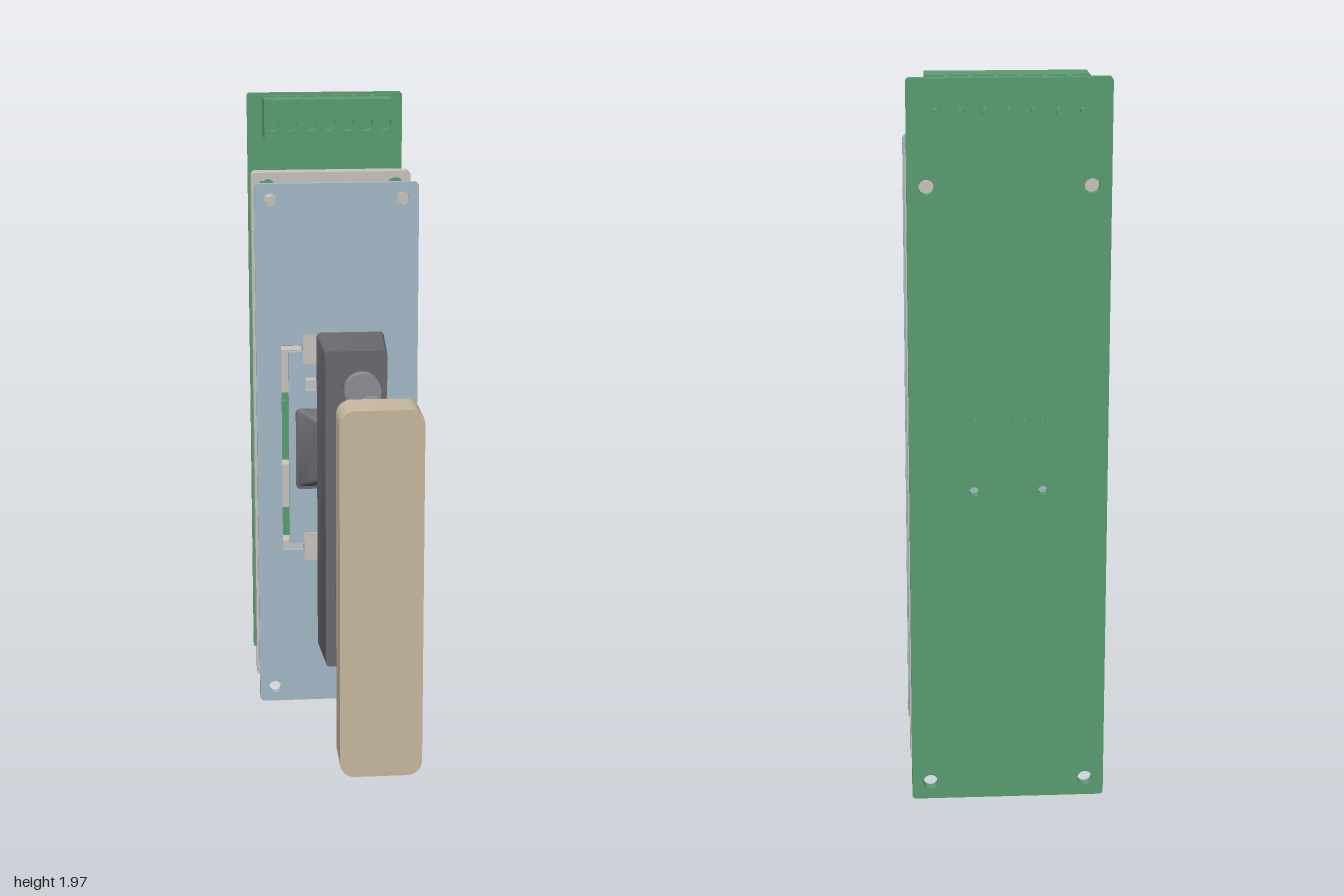
import * as THREE from 'three';
import { toCreasedNormals } from 'three/addons/utils/BufferGeometryUtils.js';

const mat = (name, color) => {
  const m = new THREE.MeshStandardMaterial({ color });
  m.name = name;
  return m;
};

// Rounded rectangle outline, centre (x, y)
function rect(x, y, w, h, r = 0, Type = THREE.Shape) {
  const s = new Type(), a = x - w / 2, b = x + w / 2, c = y - h / 2, d = y + h / 2;
  if (!r) {
    s.moveTo(a, c); s.lineTo(b, c); s.lineTo(b, d); s.lineTo(a, d); s.closePath();
    return s;
  }
  s.moveTo(a + r, c);
  s.lineTo(b - r, c); s.absarc(b - r, c + r, r, -Math.PI / 2, 0);
  s.lineTo(b, d - r); s.absarc(b - r, d - r, r, 0, Math.PI / 2);
  s.lineTo(a + r, d); s.absarc(a + r, d - r, r, Math.PI / 2, Math.PI);
  s.lineTo(a, c + r); s.absarc(a + r, c + r, r, Math.PI, Math.PI * 1.5);
  return s;
}
const rectHole = (x, y, w, h) => rect(x, y, w, h, 0, THREE.Path);
const roundHole = (x, y, r) => new THREE.Path().absarc(x, y, r, 0, Math.PI * 2);
function polygon(points, Type = THREE.Shape) {
  const s = new Type();
  points.forEach(([x, y], i) => (i ? s.lineTo(x, y) : s.moveTo(x, y)));
  s.closePath();
  return s;
}
// Plus-shaped outline
function cross(y, w, h, t, Type) {
  return polygon([[-w, -t], [-t, -t], [-t, -h], [t, -h], [t, -t], [w, -t],
    [w, t], [t, t], [t, h], [-t, h], [-t, t], [-w, t]].map(([a, b]) => [a, b + y]), Type);
}

export function createModel() {
  const root = new THREE.Group();
  root.name = 'explodedHandleAssembly';
  const green = mat('boardGreen', 0x5a9e72), blue = mat('plateBlue', 0xa5bbc9);
  const tan = mat('capTan', 0xc9baa0), dark = mat('darkGrey', 0x6a696f);
  const beige = mat('warmGrey', 0xcac5bd), magenta = mat('magenta', 0xb0469b);
  const steel = mat('magnetGrey', 0x8e8f96);

  const group = (name) => {
    const g = new THREE.Group();
    g.name = name;
    root.add(g);
    return g;
  };
  const put = (parent, name, geo, material) => {
    const m = new THREE.Mesh(geo, material);
    m.name = name;
    parent.add(m);
    return m;
  };
  // Extrudes an outline from z0 to z1; scale(z) tapers it about height cy
  const layer = (parent, name, material, shape, z0, z1, holes = [], scale = null, cy = 0) => {
    shape.holes.push(...holes);
    const geo = new THREE.ExtrudeGeometry(shape, { depth: z1 - z0, bevelEnabled: false, curveSegments: 8 });
    geo.translate(0, 0, z0);
    if (scale) {
      const p = geo.attributes.position;
      for (let i = 0; i < p.count; i++) {
        const [sx, sy] = scale(p.getZ(i));
        p.setXY(i, p.getX(i) * sx, cy + (p.getY(i) - cy) * sy);
      }
    }
    return put(parent, name, toCreasedNormals(geo, 0.6), material);
  };
  const box = (parent, name, material, x0, x1, y0, y1, z0, z1) =>
    put(parent, name, new THREE.BoxGeometry(x1 - x0, y1 - y0, z1 - z0)
      .translate((x0 + x1) / 2, (y0 + y1) / 2, (z0 + z1) / 2), material);
  const rod = (parent, name, material, x, y, z0, z1, r, n = 24) =>
    put(parent, name, new THREE.CylinderGeometry(r, r, z1 - z0, n)
      .rotateX(Math.PI / 2).translate(x, y, (z0 + z1) / 2), material);

  const magnetY = [1.29, 0.457], buttonY = [1.21, 0.545];
  const corners = (r) => [-0.21, 0.21].flatMap((x) => [0.05, 1.69].map((y) => roundHole(x, y, r)));

  // Cap: solid face, layer of wells, thin rim
  const cap = group('cap');
  const capOutline = () => rect(0, 0.873, 0.22, 1.01, 0.04);
  layer(cap, 'capFace', tan, capOutline(), 0.955, 1.0);
  layer(cap, 'capWells', tan, capOutline(), 0.9, 0.955, [
    ...magnetY.map((y) => roundHole(0, y, 0.056)),
    rectHole(0, 0.95, 0.08, 0.43), rectHole(0, 0.61, 0.09, 0.09)]);
  layer(cap, 'capRim', tan, capOutline(), 0.88, 0.9, [rect(0, 0.873, 0.185, 0.975, 0.03, THREE.Path)]);
  box(cap, 'capShim', tan, -0.035, 0.035, 0.6, 0.75, 0.706, 0.711);

  // Magnets: a pair for the cap and a pair for the body
  const magnets = group('magnets');
  for (const y of magnetY) for (const z of [0.706, 0.428]) rod(magnets, 'magnet', steel, 0, y, z, z + 0.033, 0.052, 32);

  // Contact spring
  const spring = group('contactSpring');
  box(spring, 'springPlate', magenta, -0.045, 0.045, 1.07, 1.21, 0.426, 0.432);
  box(spring, 'springPad', magenta, -0.02, 0.02, 1.14, 1.175, 0.432, 0.445);
  box(spring, 'springFoot', magenta, -0.045, 0.045, 1.07, 1.1, 0.432, 0.443);
  box(spring, 'springLeg', magenta, -0.02, 0.02, 1.066, 1.074, 0.312, 0.432);

  // Slide lever with two prongs
  const lever = group('slideLever');
  box(lever, 'leverBlock', dark, -0.025, 0.02, 0.6, 0.76, 0.39, 0.445);
  box(lever, 'leverTab', dark, -0.072, -0.025, 0.645, 0.71, 0.375, 0.43);
  for (const y of [0.628, 0.728]) rod(lever, 'leverProng', dark, 0, y, 0.25, 0.46, 0.008, 10);

  // Handle body: tapered shell, open at the back
  const body = group('handleBody');
  const taper = (z) => { const t = (0.25 - z) / 0.2; return [0.9 + 0.1 * t, 0.98 + 0.02 * t]; };
  const bodyOutline = () => rect(0, 0.873, 0.2, 0.99, 0.012);
  layer(body, 'bodyFront', dark, bodyOutline(), 0.205, 0.25, [
    ...magnetY.map((y) => roundHole(0, y - 0.873, 0.056)).map((h, i) => roundHole(0, magnetY[i], 0.056)),
    rectHole(0, 1.13, 0.1, 0.17), rectHole(0, 0.68, 0.07, 0.2)], taper, 0.873);
  layer(body, 'bodyFloor', dark, bodyOutline(), 0.185, 0.205,
    [rectHole(0, 1.08, 0.05, 0.05), rectHole(0, 0.68, 0.03, 0.14)], taper, 0.873);
  layer(body, 'bodyWalls', dark, bodyOutline(), 0.045, 0.185,
    [rectHole(0, 0.873, 0.17, 0.95)], taper, 0.873);
  for (const y of buttonY) {
    layer(body, 'bodyPost', dark, new THREE.Shape().absarc(0, y, 0.046, 0, Math.PI * 2), -0.016, 0.19,
      [cross(y, 0.03, 0.03, 0.01, THREE.Path)]);
  }
  layer(body, 'bodyCentrePost', dark, new THREE.Shape().absarc(0, 0.883, 0.046, 0, Math.PI * 2), 0.06, 0.19,
    [rectHole(0, 0.883, 0.05, 0.05)]);

  // Face plate with bracket-shaped slot and windows
  const plate = group('facePlate');
  layer(plate, 'plate', blue, rect(0, 0.87, 0.52, 1.74, 0.015), -0.456, -0.434, [
    ...corners(0.02),
    polygon([[-0.18, 0.53], [-0.112, 0.53], [-0.112, 0.553], [-0.157, 0.553],
      [-0.157, 1.197], [-0.112, 1.197], [-0.112, 1.22], [-0.18, 1.22]], THREE.Path),
    ...[-0.085, -0.03, 0.025, 0.08].map((x) => rectHole(x, 1.09, 0.035, 0.045))]);

  // Push buttons
  const buttons = group('pushButtons');
  for (const y of buttonY) {
    box(buttons, 'buttonBase', beige, -0.11, 0.11, y - 0.05, y + 0.045, -0.503, -0.431);
    box(buttons, 'buttonCollar', beige, -0.033, 0.033, y - 0.035, y + 0.033, -0.431, -0.375);
    layer(buttons, 'buttonStem', beige, cross(y, 0.033, 0.03, 0.012), -0.375, -0.32);
  }

  // Central joystick switch
  const stick = group('centreSwitch');
  const sy = 0.88;
  layer(stick, 'switchBase', dark, rect(0, sy, 0.24, 0.24, 0.012), -0.52, -0.456);
  layer(stick, 'switchFlange', dark, rect(0, sy - 0.005, 0.27, 0.27, 0.015), -0.456, -0.43);
  layer(stick, 'switchCone', dark, rect(0, sy, 0.26, 0.26, 0.01), -0.43, -0.368, [],
    (z) => (z > -0.4 ? [0.48, 0.74] : [1, 1]), sy);
  box(stick, 'switchNeck', dark, -0.06, 0.06, sy - 0.045, sy + 0.045, -0.368, -0.3);
  layer(stick, 'switchTip', dark, cross(sy, 0.034, 0.034, 0.018), -0.3, -0.235);
  for (const x of [-0.09, 0.09]) rod(stick, 'switchPeg', dark, x, sy, -0.555, -0.52, 0.013, 16);

  // Spacer frame with pockets for the switches
  const spacer = group('spacerFrame');
  layer(spacer, 'spacer', beige, rect(0, 0.87, 0.52, 1.74, 0.015), -0.73, -0.67, [
    ...corners(0.03),
    ...buttonY.map((y) => rectHole(0, y, 0.34, 0.12)),
    rectHole(0, 0.88, 0.34, 0.25), rectHole(0, 1.075, 0.24, 0.06)]);

  // Circuit board
  const board = group('circuitBoard');
  layer(board, 'board', green, rect(0, 0.983, 0.52, 1.965, 0.01), -0.966, -0.94,
    [...corners(0.02), roundHole(-0.09, 0.88, 0.013), roundHole(0.09, 0.88, 0.013)]);

  // Terminal block: round entries in front, square pits on top, pins behind
  const terminals = [...Array(7)].map((_, i) => (i - 3) * 0.0617);
  layer(board, 'terminalFront', green, rect(0, 1.895, 0.42, 0.13), -0.83, -0.79,
    terminals.map((x) => roundHole(x, 1.88, 0.024)));
  box(board, 'terminalCore', green, -0.21, 0.21, 1.83, 1.93, -0.94, -0.83);
  const top = layer(board, 'terminalTop', green, rect(0, 0.885, 0.42, 0.11), 1.93, 1.96,
    terminals.map((x) => rectHole(x, 0.893, 0.046, 0.046)));
  top.rotation.x = -Math.PI / 2;
  top.position.z = 0;
  top.geometry.translate(0, -0.885 * 2 + 0.885 * 2, 0);
  for (const x of terminals) rod(board, 'terminalPin', green, x, 1.883, -1.0, -0.96, 0.009, 10);

  // Pin header and small components
  box(board, 'header', green, -0.11, 0.11, 1.05, 1.095, -0.94, -0.895);
  for (let i = -2; i <= 2; i++) rod(board, 'headerPin', green, i * 0.044, 1.072, -0.985, -0.838, 0.006, 8);
  for (const [x, y] of [[0.14, 0.877], [-0.14, 0.877], [0, 1.37]]) {
    layer(board, 'component', green, rect(x, y, 0.035, 0.07, 0.016), -0.94, -0.91);
  }
  put(board, 'indicator', new THREE.SphereGeometry(0.013, 16, 10).translate(-0.23, 1.5, -0.926), green);
  return root;
}
